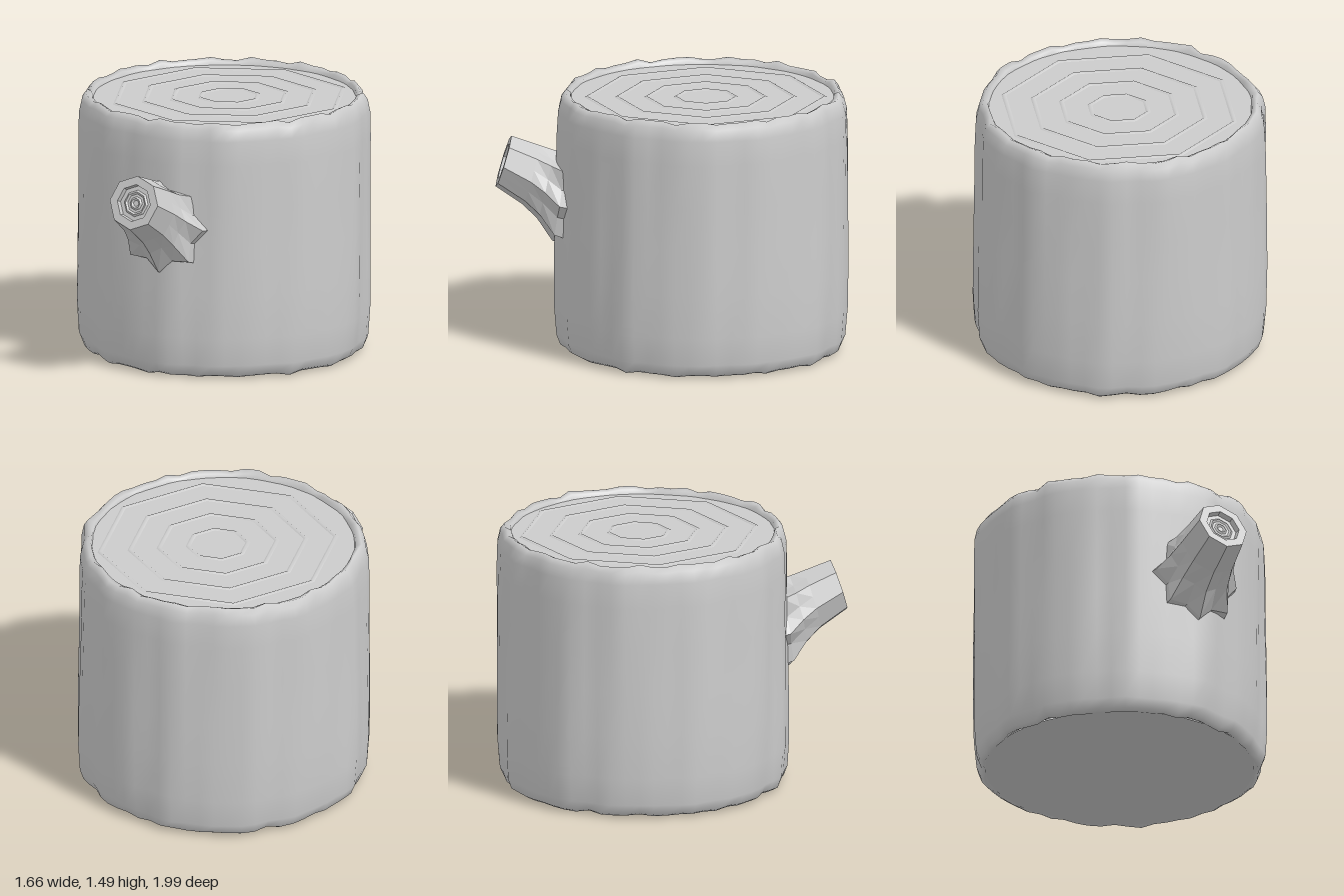
import * as THREE from 'three';

const grey = (options = {}) => new THREE.MeshStandardMaterial({ color: 0xcccccc, ...options });
const CENTRE_Z = -0.165;

function add(parent, name, geometry, material) {
  const mesh = new THREE.Mesh(geometry, material);
  mesh.name = name;
  parent.add(mesh);
  return mesh;
}

// Joins a list of closed rings (each an array of Vector3, counter-clockwise seen from the last ring)
function loft(rings) {
  const n = rings[0].length, index = [];
  for (let j = 0; j < rings.length - 1; j++) {
    for (let i = 0; i < n; i++) {
      const a = j * n + i, b = j * n + (i + 1) % n;
      index.push(a, b, b + n, a, b + n, a + n);
    }
  }
  const geometry = new THREE.BufferGeometry().setFromPoints(rings.flat());
  geometry.setIndex(index);
  geometry.computeVertexNormals();
  return geometry;
}

// Bark: uneven vertical ridges with a rounded, ragged rim at both ends
function barkGeometry() {
  const profile = [ // radius, height, roughness of the rim
    [0.74, 0.04, 0], [0.765, 0.02, 0.008], [0.79, 0.035, 0.008], [0.811, 0.09, 0],
    [0.822, 0.25, 0], [0.823, 0.5, 0], [0.82, 0.75, 0], [0.817, 1.0, 0], [0.816, 1.25, 0],
    [0.811, 1.39, 0], [0.796, 1.455, 0.008], [0.77, 1.487, 0.012], [0.745, 1.475, 0.01], [0.735, 1.44, 0],
  ];
  const sides = 64;
  const rings = profile.map(([r, y, rough], j) => {
    const ring = [];
    const inner = j === 0 || j > 11;
    for (let i = 0; i < sides; i++) {
      const a = -i / sides * Math.PI * 2;
      const ridge = 0.007 * Math.sin(13 * a + 1.2 * Math.sin(2 * y)) + 0.006 * Math.sin(21 * a + 2 + y)
        + 0.006 * Math.sin(5 * a + 1.5 * y);
      const radius = r + (inner ? 0.3 : 1) * ridge;
      const h = y + rough * (Math.sin(17 * a + 1) * 0.6 + Math.sin(29 * a) * 0.5);
      ring.push(new THREE.Vector3(Math.cos(a) * radius, h, Math.sin(a) * radius));
    }
    return ring;
  });
  return loft(rings);
}

// A low octagonal ridge, lying flat around the y axis
const ridgeGeometry = (r, half, height) => new THREE.LatheGeometry(
  [[r + half, 0], [r, height], [r - half, 0]].map(([x, y]) => new THREE.Vector2(x, y)), 8);

// Branch stub: an eight-sided flared tube that bends up out of the trunk
function branchGeometry() {
  const sections = [ // x, y, z of the centre, radius, lean, depth of the root scallops
    [0.03, 0.87, 0.52, 0.29, 0.12, 0.04],
    [0.03, 0.885, 0.64, 0.262, 0.16, 0.035],
    [0.02, 0.95, 0.72, 0.205, 0.22, 0.01],
    [0.02, 1.005, 0.8, 0.178, 0.27, 0],
    [0.02, 1.085, 0.955, 0.153, 0.3, 0],
  ];
  const rings = sections.map(([x, y, z, r, lean, scallop]) => {
    const ring = [];
    for (let i = 0; i < 16; i++) {
      const a = i / 16 * Math.PI * 2;
      const radius = i % 2 ? r * Math.cos(Math.PI / 8) - scallop : r;
      const up = Math.sin(a) * radius;
      ring.push(new THREE.Vector3(x + Math.cos(a) * radius, y + up * Math.cos(lean), z - up * Math.sin(lean)));
    }
    return ring;
  });
  return loft(rings).toNonIndexed();
}

export function createModel() {
  const model = new THREE.Group();
  model.name = 'treeStump';

  // Trunk
  const trunk = new THREE.Group();
  trunk.name = 'trunk';
  trunk.position.z = CENTRE_Z;
  model.add(trunk);
  add(trunk, 'bark', barkGeometry(), grey({ side: THREE.DoubleSide }));

  // Cut faces
  const top = add(trunk, 'topCut', new THREE.CircleGeometry(0.76, 40), grey());
  top.rotation.x = -Math.PI / 2;
  top.position.y = 1.455;
  const bottom = add(trunk, 'bottomCut', new THREE.CircleGeometry(0.76, 40), grey());
  bottom.rotation.x = Math.PI / 2;
  bottom.position.y = 0.025;

  // Growth rings
  for (const r of [0.17, 0.335, 0.5, 0.67]) {
    const ring = add(trunk, 'growthRing', ridgeGeometry(r, 0.014, 0.008), grey());
    ring.position.set(0.02, 1.455, -0.02);
  }

  // Branch stub
  const branch = new THREE.Group();
  branch.name = 'branch';
  model.add(branch);
  add(branch, 'branchWood', branchGeometry(), grey({ flatShading: true }));

  // Cut end of the branch: rim, recess and its own small rings
  const end = new THREE.Group();
  end.name = 'branchEnd';
  end.position.set(0.02, 1.085, 0.955);
  end.rotation.x = Math.PI / 2 - 0.3;
  branch.add(end);
  const outline = [[0.153, 0], [0.105, 0], [0.1, -0.03], [0, -0.03]];
  add(end, 'branchCut', new THREE.LatheGeometry(outline.map(([x, y]) => new THREE.Vector2(x, y)), 8),
    grey({ flatShading: true }));
  for (const r of [0.065, 0.028]) {
    add(end, 'branchRing', ridgeGeometry(r, 0.011, 0.008), grey({ flatShading: true })).position.y = -0.03;
  }
  return model;
}
